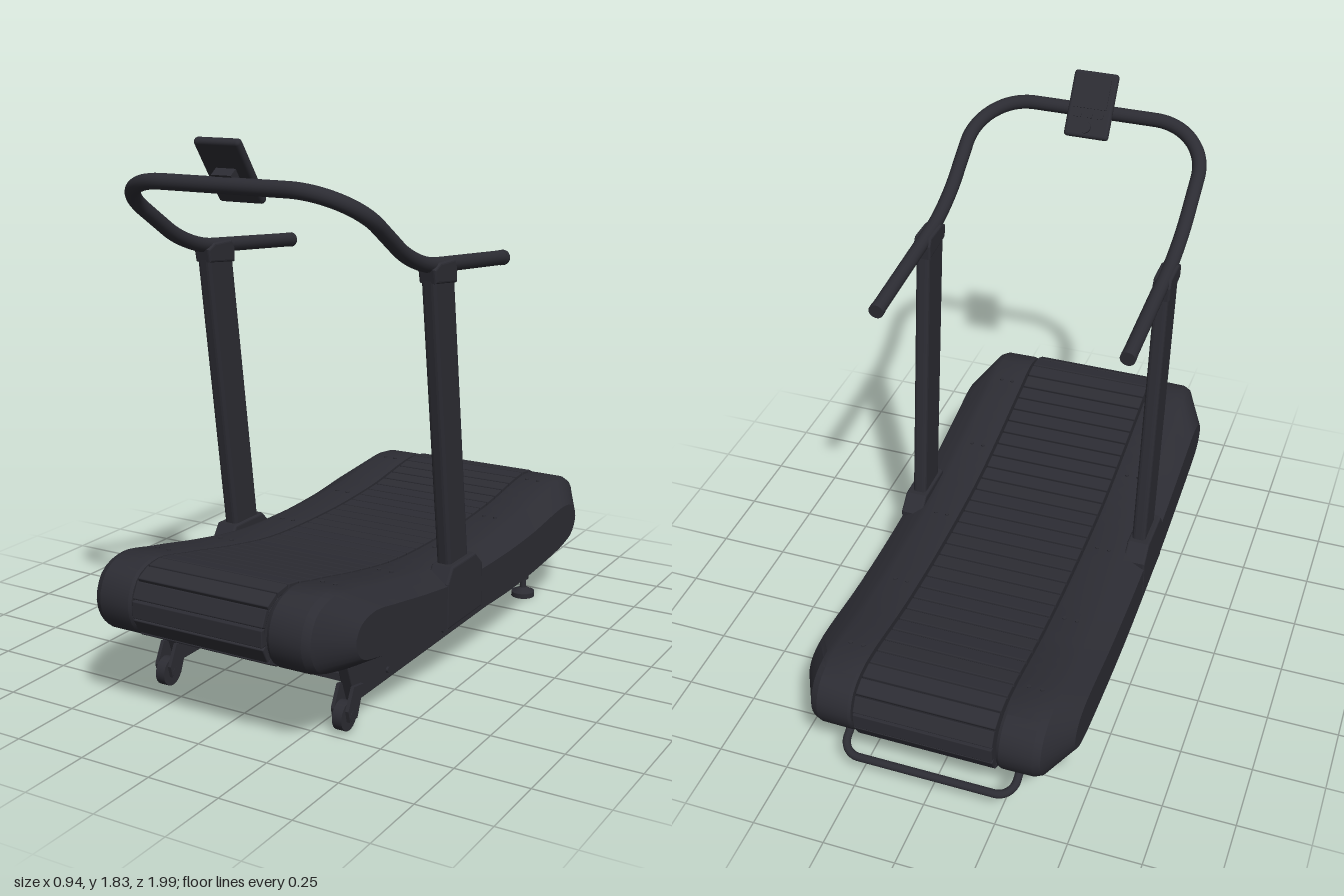
import * as THREE from 'three';
import { toCreasedNormals } from 'three/addons/utils/BufferGeometryUtils.js';
import { RoundedBoxGeometry } from 'three/addons/geometries/RoundedBoxGeometry.js';

const V = (x, y, z) => new THREE.Vector3(x, y, z);

// Side profile of the curved deck, as (z, y), running front -> top -> rear -> underside
const deck = new THREE.CatmullRomCurve3([
  [1.0, 0.39], [0.965, 0.48], [0.87, 0.515], [0.7, 0.487], [0.45, 0.435], [0.2, 0.395], [-0.2, 0.38],
  [-0.5, 0.392], [-0.87, 0.427], [-0.96, 0.39], [-0.992, 0.31], [-0.955, 0.22], [-0.87, 0.18],
  [-0.6, 0.145], [-0.3, 0.13], [0, 0.14], [0.3, 0.165], [0.6, 0.212], [0.85, 0.26], [0.96, 0.3],
].map(([z, y]) => V(0, y, z)), true);
const midHeight = z => 0.262 + 0.051 * z + 0.107 * z * z;

// Skin over copies of the deck profile; each level is [x, length scale, thickness scale]
function loft(levels) {
  const n = 140, pts = deck.getSpacedPoints(n), pos = [], idx = [];
  for (const [x, sz, sy] of levels) {
    for (const p of pts) {
      const z = p.z * sz;
      pos.push(x, midHeight(z) + (p.y - midHeight(p.z)) * sy, z);
    }
  }
  for (let i = 0; i < levels.length - 1; i++) {
    for (let j = 0; j < n; j++) {
      const a = i * (n + 1) + j, c = a + n + 1;
      idx.push(a, c, a + 1, a + 1, c, c + 1);
    }
  }
  const g = new THREE.BufferGeometry();
  g.setAttribute('position', new THREE.Float32BufferAttribute(pos, 3));
  g.setIndex(idx);
  return toCreasedNormals(g, 0.4);
}

// Side outline in (z, y) given a width along x, centred on x = 0
function prism(points, width, bevel) {
  const shape = new THREE.Shape(points.map(([z, y]) => new THREE.Vector2(z, y)));
  const g = new THREE.ExtrudeGeometry(shape, {
    depth: width - 2 * bevel, bevelEnabled: bevel > 0, bevelSize: bevel,
    bevelThickness: bevel, bevelOffset: -bevel, bevelSegments: 3,
  });
  return g.translate(0, 0, bevel - width / 2).rotateY(-Math.PI / 2);
}

// Tube along straight runs with rounded corners
function bentTube(points, bends, radius) {
  const path = new THREE.CurvePath();
  let last = points[0];
  for (let i = 1; i < points.length - 1; i++) {
    const p = points[i];
    const a = p.clone().add(points[i - 1].clone().sub(p).setLength(bends[i - 1]));
    const b = p.clone().add(points[i + 1].clone().sub(p).setLength(bends[i - 1]));
    const k = 0.45;
    path.add(new THREE.LineCurve3(last, a));
    path.add(new THREE.CubicBezierCurve3(a, p.clone().lerp(a, k), p.clone().lerp(b, k), b));
    last = b;
  }
  path.add(new THREE.LineCurve3(last, points[points.length - 1]));
  return new THREE.TubeGeometry(path, 160, radius, 16);
}

export function createModel() {
  const model = new THREE.Group();
  model.name = 'curvedTreadmill';
  const charcoal = new THREE.MeshStandardMaterial({ color: 0x2c2c33 });
  charcoal.name = 'charcoal';
  const add = (name, geo, x = 0, y = 0, z = 0, parent = model) => {
    const m = new THREE.Mesh(geo, charcoal);
    m.name = name;
    m.position.set(x, y, z);
    parent.add(m);
    return m;
  };
  const box = (x, y, z) => new THREE.BoxGeometry(x, y, z);
  const cyl = (r, h, r2 = r) => new THREE.CylinderGeometry(r2, r, h, 24);

  // Running belt: solid core with a loop of slats
  add('beltCore', loft([[-0.235, 0.96, 0], [-0.235, 0.98, 0.86], [0.235, 0.98, 0.86], [0.235, 0.96, 0]]));
  const belt = new THREE.Group();
  belt.name = 'beltSlats';
  model.add(belt);
  const count = 68;
  const pitch = deck.getLength() / count;
  const slatGeo = new RoundedBoxGeometry(0.48, 0.02, pitch - 0.006, 1, 0.004);
  for (let i = 0; i < count; i++) {
    const p = deck.getPointAt(i / count), t = deck.getTangentAt(i / count);
    const slat = add('slat', slatGeo, 0, p.y + t.z * 0.01, p.z - t.y * 0.01, belt);
    slat.rotation.x = Math.atan2(-t.y, t.z);
  }

  const shell = [[0.25, 0.84, 0], [0.25, 0.99, 0.98], [0.26, 0.995, 1], [0.37, 0.993, 1],
    [0.395, 0.98, 0.95], [0.468, 0.84, 0.6], [0.468, 0.84, 0]];
  for (const s of [1, -1]) {
    const side = new THREE.Group();
    side.name = s > 0 ? 'leftSide' : 'rightSide';
    model.add(side);
    const put = (name, geo, x, y = 0, z = 0) => add(name, geo, s * x, y, z, side);

    // Chamfered side cover
    const levels = s > 0 ? shell : shell.map(([x, a, b]) => [-x, a, b]).reverse();
    put('sideCover', loft(levels), 0);
    // Screws on the foot rest
    for (const z of [-0.77, -0.39, 0, 0.39, 0.74]) {
      const ray = deck.getSpacedPoints(400).filter(p => p.y > midHeight(p.z));
      const y = ray.reduce((b, p) => (Math.abs(p.z - z) < Math.abs(b.z - z) ? p : b)).y;
      for (const x of [0.29, 0.335]) put('screw', cyl(0.007, 0.006), x, y + 0.001, z);
    }

    // Upright post with base bracket and top clamp
    put('postBracket', prism([[-0.01, 0.2], [0.25, 0.2], [0.25, 0.36], [0.215, 0.41], [0.045, 0.41], [-0.01, 0.36]], 0.08, 0.008), 0.43);
    put('post', prism([[0.04, 0.25], [0.18, 0.25], [0.332, 1.39], [0.19, 1.39]], 0.05, 0.014), 0.425);
    put('postClamp', prism([[0.183, 1.35], [0.328, 1.365], [0.338, 1.41], [0.3, 1.428], [0.2, 1.428], [0.183, 1.4]], 0.062, 0.008), 0.425);

    // Base rail
    put('baseRail', prism([[-0.68, 0.08], [0.65, 0.08], [0.71, 0.24], [0.55, 0.24], [0.2, 0.18], [-0.4, 0.16], [-0.73, 0.18]], 0.04, 0.004), 0.335);
    for (const z of [-0.55, -0.09, 0.06, 0.45]) put('railBolt', cyl(0.01, 0.01).rotateZ(Math.PI / 2), 0.358, 0.115, z);

    // Front transport wheel with its fork
    put('wheel', cyl(0.048, 0.034).rotateZ(Math.PI / 2), 0.34, 0.052, 0.695);
    put('wheelHub', cyl(0.018, 0.066).rotateZ(Math.PI / 2), 0.34, 0.055, 0.695);
    for (const d of [-0.026, 0.026]) {
      put('wheelFork', prism([[0.63, 0.14], [0.67, 0.04], [0.715, 0.04], [0.725, 0.08], [0.69, 0.15]], 0.012, 0), 0.34 + d);
    }

    // Rear levelling foot
    put('footPad', cyl(0.044, 0.018), 0.335, 0.009, -0.655);
    put('footCone', cyl(0.04, 0.016, 0.014), 0.335, 0.026, -0.655);
    put('footStem', cyl(0.012, 0.07), 0.335, 0.06, -0.655);
    put('footNut', new THREE.CylinderGeometry(0.02, 0.02, 0.014, 6), 0.335, 0.073, -0.655);

    // Handrail end cap
    put('gripEnd', cyl(0.026, 0.02).rotateX(Math.PI / 2 - 0.09), 0.425, 1.375, -0.208);
  }

  // Cross members under the belt
  for (const z of [-0.62, 0.58]) add('crossMember', box(0.64, 0.025, 0.04), 0, z > 0 ? 0.125 : 0.11, z);

  // Handrail loop
  const half = [V(0.425, 1.375, -0.21), V(0.425, 1.427, 0.41), V(0.425, 1.69, 0.81)];
  const mirrored = half.map(p => V(-p.x, p.y, p.z)).reverse();
  add('handrail', bentTube([...half, ...mirrored], [0.13, 0.2, 0.2, 0.13], 0.025));

  // Rear lifting handle
  add('rearHandle', bentTube([V(0.3, 0.2, -0.8), V(0.3, 0.115, -0.972), V(-0.3, 0.115, -0.972), V(-0.3, 0.2, -0.8)], [0.06, 0.06], 0.014));

  // Console tilted towards the runner
  const console_ = new THREE.Group();
  console_.name = 'console';
  console_.position.set(0, 1.73, 0.77);
  console_.rotation.x = 0.61;
  model.add(console_);
  add('consoleBody', new RoundedBoxGeometry(0.162, 0.235, 0.028, 3, 0.012), 0, 0, 0, console_);
  add('screen', box(0.12, 0.11, 0.006), 0, 0.04, -0.015, console_);
  for (const x of [-0.04, 0, 0.04]) add('button', box(0.026, 0.016, 0.006), x, -0.04, -0.015, console_);
  add('safetyKey', cyl(0.012, 0.03).rotateX(Math.PI / 2), 0, -0.085, -0.026, console_);
  add('safetyKeyCap', cyl(0.022, 0.008).rotateX(Math.PI / 2), 0, -0.085, -0.042, console_);
  add('consoleMount', box(0.07, 0.07, 0.04), 0, -0.015, 0.026, console_);
  return model;
}
